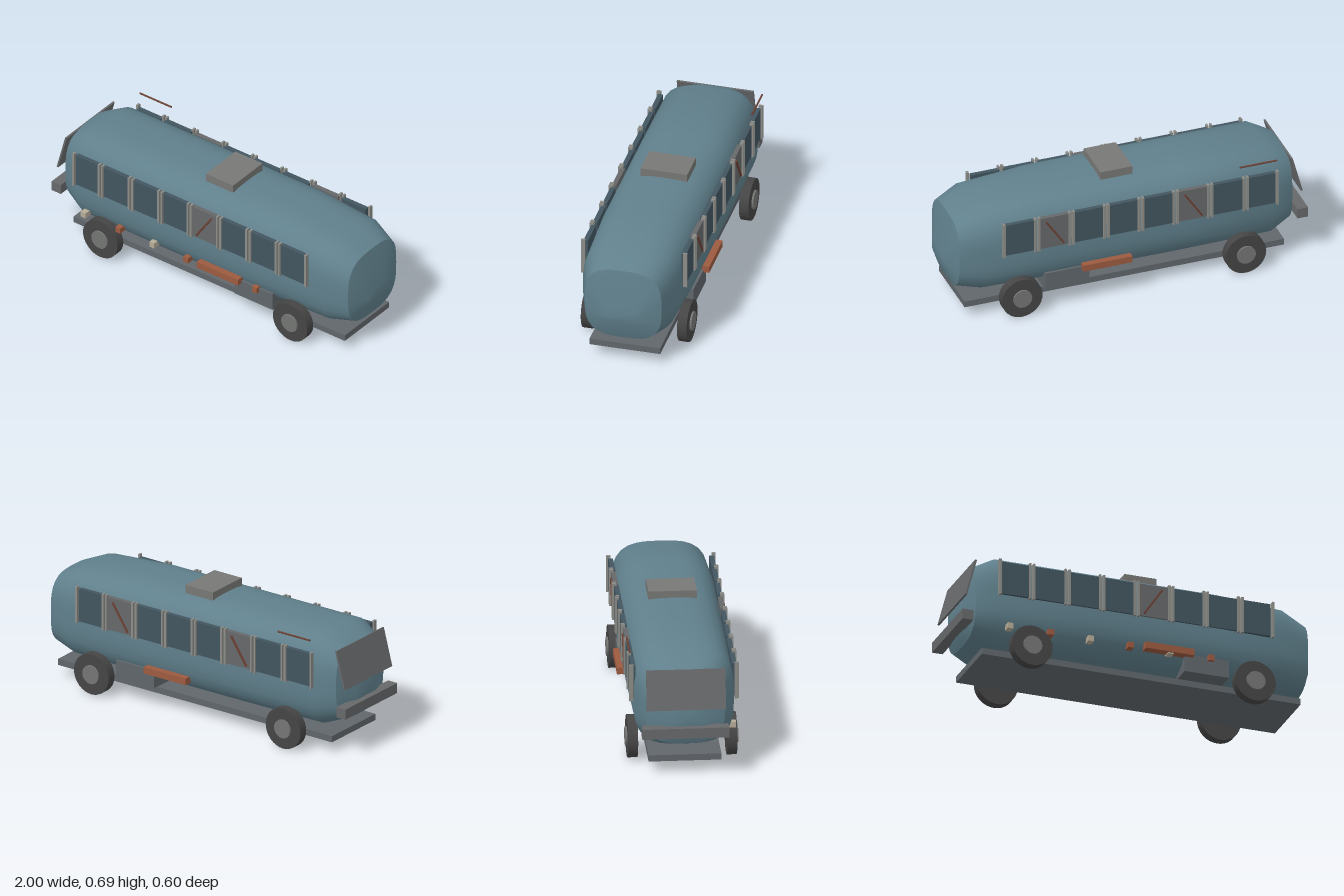
import * as THREE from 'three';
import { toCreasedNormals } from 'three/addons/utils/BufferGeometryUtils.js';

const mat = (color) => new THREE.MeshStandardMaterial({ color });
const BLUE = mat(0x60808c), GLASS = mat(0x42555f), STEEL = mat(0x8c8c88), PANEL = mat(0x66686a),
  FRAME = mat(0x60666b), RUBBER = mat(0x454545), HUB = mat(0x737573), ORANGE = mat(0x9c5a40),
  CREAM = mat(0xb5ab98), BROWN = mat(0x6b4032), ROOF = mat(0x777875);

// Lofts rounded-square sections [x, yMin, yMax, halfWidth] along x, closed at both ends
function loft(sections, sides, power) {
  const pos = [], idx = [];
  for (const [x, y0, y1, w] of sections) {
    for (let i = 0; i < sides; i++) {
      const a = (i / sides) * Math.PI * 2, c = Math.cos(a), s = Math.sin(a);
      const k = Math.pow(Math.abs(c) ** power + Math.abs(s) ** power, -1 / power);
      pos.push(x, (y0 + y1) / 2 + s * k * (y1 - y0) / 2, c * k * w);
    }
  }
  const last = sections.length - 1;
  for (let j = 0; j < last; j++) {
    for (let i = 0; i < sides; i++) {
      const n = (i + 1) % sides, a = j * sides + i, b = j * sides + n;
      idx.push(a, a + sides, b, b, a + sides, b + sides);
    }
  }
  for (const j of [0, last]) {
    const centre = pos.length / 3, [x, y0, y1] = sections[j];
    pos.push(x, (y0 + y1) / 2, 0);
    for (let i = 0; i < sides; i++) {
      const a = j * sides + i, b = j * sides + (i + 1) % sides;
      if (j === 0) idx.push(centre, a, b);
      else idx.push(centre, b, a);
    }
  }
  const g = new THREE.BufferGeometry();
  g.setAttribute('position', new THREE.Float32BufferAttribute(pos, 3));
  g.setIndex(idx);
  return toCreasedNormals(g, 0.6);
}

export function createModel() {
  const model = new THREE.Group();
  model.name = 'bus';

  const add = (name, geometry, material, x = 0, y = 0, z = 0) => {
    const m = new THREE.Mesh(geometry, material);
    m.name = name;
    m.position.set(x, y, z);
    model.add(m);
    return m;
  };
  // Box given by its extents
  const box = (name, material, x0, x1, y0, y1, z0, z1) =>
    add(name, new THREE.BoxGeometry(x1 - x0, y1 - y0, z1 - z0), material,
      (x0 + x1) / 2, (y0 + y1) / 2, (z0 + z1) / 2);
  // Box on one flank, z measured outwards
  const sideBox = (name, material, side, x0, x1, y0, y1, z0, z1) =>
    box(name, material, x0, x1, y0, y1, Math.min(side * z0, side * z1), Math.max(side * z0, side * z1));

  // Shell
  add('body', loft([
    [-0.965, 0.27, 0.40, 0.09],
    [-0.92, 0.18, 0.60, 0.21],
    [-0.80, 0.13, 0.66, 0.265],
    [-0.30, 0.127, 0.658, 0.27],
    [0.45, 0.127, 0.656, 0.27],
    [0.82, 0.13, 0.63, 0.256],
    [0.955, 0.16, 0.57, 0.21],
    [1.0, 0.275, 0.35, 0.088],
  ], 40, 3.2), BLUE);

  // Chassis, belly box, roof hatch, end bumper and slanted end screen
  box('chassis', FRAME, -0.88, 0.92, 0.065, 0.10, -0.193, 0.193);
  box('bellyBox', FRAME, 0.24, 0.49, 0.12, 0.22, -0.26, 0.26);
  box('roofHatch', ROOF, -0.05, 0.13, 0.64, 0.695, -0.128, 0.128);
  box('bumper', PANEL, -1.0, -0.94, 0.238, 0.295, -0.235, 0.225);
  add('endScreen', new THREE.BoxGeometry(0.01, 0.217, 0.42), PANEL, -0.946, 0.495, 0)
    .rotation.z = -0.26;

  // Windows, posts and side trim on both flanks
  const posts = [-0.81, -0.63, -0.43, -0.235, -0.04, 0.155, 0.35, 0.545, 0.73];
  for (const side of [1, -1]) {
    const panels = side > 0 ? [4] : [2, 6];
    posts.forEach((x, i) => {
      const offsets = i === 0 || i === 8 ? [0] : [-0.011, 0.011];
      for (const d of offsets) {
        sideBox('windowPost', STEEL, side, x + d - 0.006, x + d + 0.006, 0.385, 0.59, 0.268, 0.29);
      }
      if (i === 8) return;
      const solid = panels.includes(i), next = posts[i + 1];
      sideBox(solid ? 'solidPanel' : 'window', solid ? PANEL : GLASS, side,
        x + 0.012, next - 0.012, 0.393, 0.578, 0.255, 0.28);
      if (solid) {
        add('diagonalBar', new THREE.BoxGeometry(0.18, 0.01, 0.008), BROWN,
          (x + next) / 2 - 0.003, 0.482, side * 0.284).rotation.z = 0.98;
      }
    });
    sideBox('sideStrip', ORANGE, side, 0.01, 0.285, 0.205, 0.242, 0.24, 0.29);
  }

  // Marker lamps on one flank only
  [-0.75, -0.52, -0.295, -0.07, 0.155, 0.385].forEach((x, i) =>
    box('markerLamp', i % 2 ? ORANGE : CREAM, x - 0.016, x + 0.016, 0.198, 0.23, 0.235, 0.28));

  // Loose rod beside the roof
  add('rod', new THREE.CylinderGeometry(0.005, 0.005, 0.21, 10), BROWN, -0.7, 0.66, -0.287)
    .rotation.z = Math.PI / 2;

  // Wheels
  for (const x of [-0.63, 0.63]) {
    for (const side of [1, -1]) {
      add('tyre', new THREE.CylinderGeometry(0.114, 0.114, 0.052, 32), RUBBER, x, 0.114, side * 0.263)
        .rotation.x = Math.PI / 2;
      add('hub', new THREE.CylinderGeometry(0.052, 0.052, 0.06, 24), HUB, x, 0.114, side * 0.269)
        .rotation.x = Math.PI / 2;
    }
  }
  return model;
}
